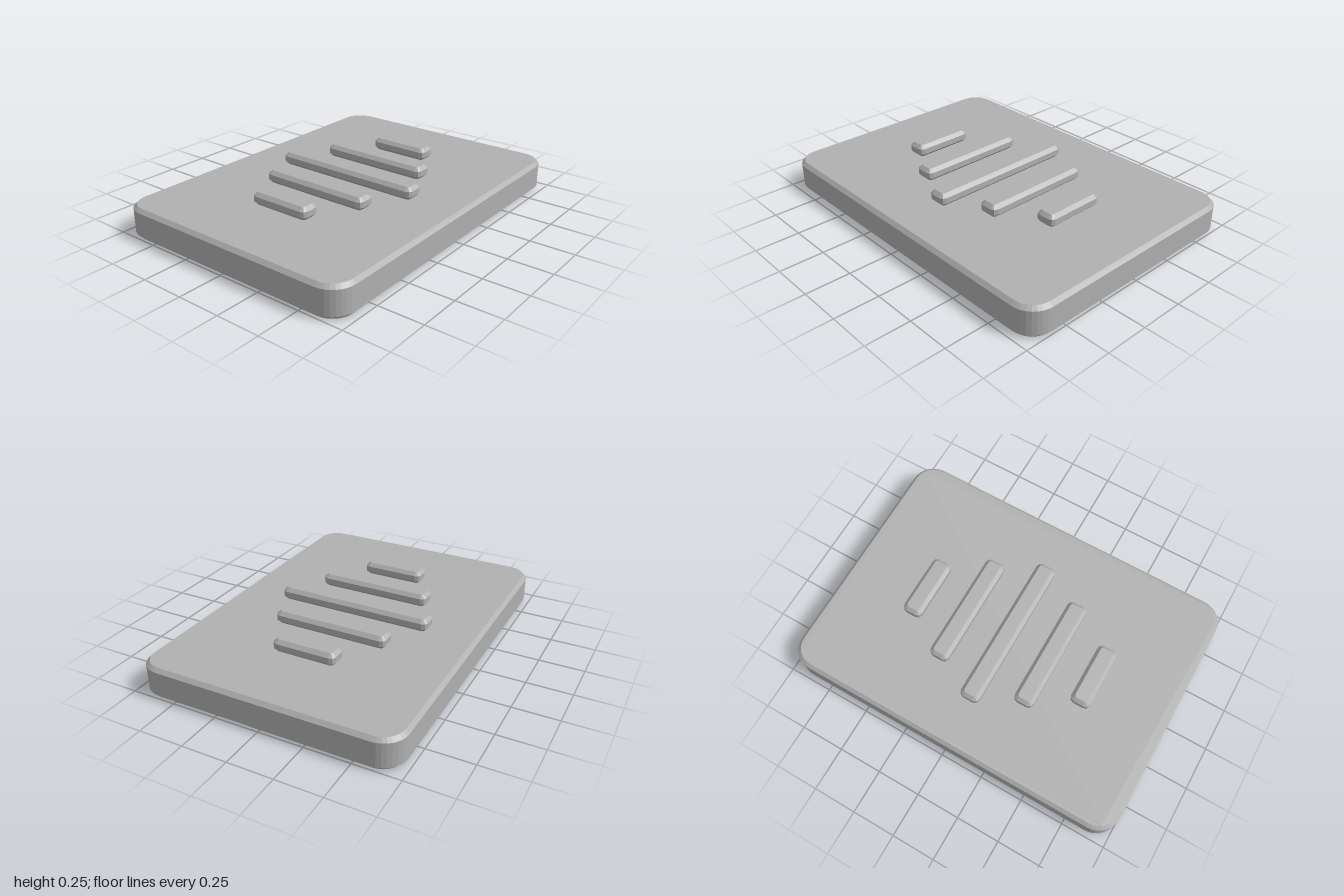
import * as THREE from 'three';

// Flat slab with rounded plan corners and a single chamfer along top and bottom
function chamferedSlab(width, depth, height, radius, chamfer, segments) {
  const x = width / 2 - chamfer, z = depth / 2 - chamfer, r = radius - chamfer;
  const s = new THREE.Shape();
  s.moveTo(-x + r, -z);
  s.lineTo(x - r, -z);
  s.absarc(x - r, -z + r, r, -Math.PI / 2, 0, false);
  s.lineTo(x, z - r);
  s.absarc(x - r, z - r, r, 0, Math.PI / 2, false);
  s.lineTo(-x + r, z);
  s.absarc(-x + r, z - r, r, Math.PI / 2, Math.PI, false);
  s.lineTo(-x, -z + r);
  s.absarc(-x + r, -z + r, r, Math.PI, Math.PI * 1.5, false);
  const g = new THREE.ExtrudeGeometry(s, {
    depth: height - 2 * chamfer, bevelEnabled: true, bevelSegments: 1,
    bevelSize: chamfer, bevelThickness: chamfer, curveSegments: segments,
  });
  g.rotateX(-Math.PI / 2);
  g.translate(0, chamfer, 0);
  return g;
}

export function createModel() {
  const model = new THREE.Group();
  model.name = 'ribbedPlate';
  const grey = new THREE.MeshStandardMaterial({ color: 0xb0b0b0, flatShading: true });
  grey.name = 'grey';

  // Base plate
  const plate = new THREE.Mesh(chamferedSlab(2, 1.445, 0.175, 0.13, 0.02, 4), grey);
  plate.name = 'basePlate';
  model.add(plate);

  // Raised ribs, shortening away from the middle: [x, length]
  const ribs = [[-0.53, 0.36], [-0.265, 0.655], [0, 0.895], [0.265, 0.655], [0.53, 0.36]];
  ribs.forEach(([x, length], i) => {
    const rib = new THREE.Mesh(chamferedSlab(0.115, length, 0.073, 0.032, 0.02, 1), grey);
    rib.name = 'rib' + (i + 1);
    rib.position.set(x, 0.173, -0.004);
    model.add(rib);
  });
  return model;
}
